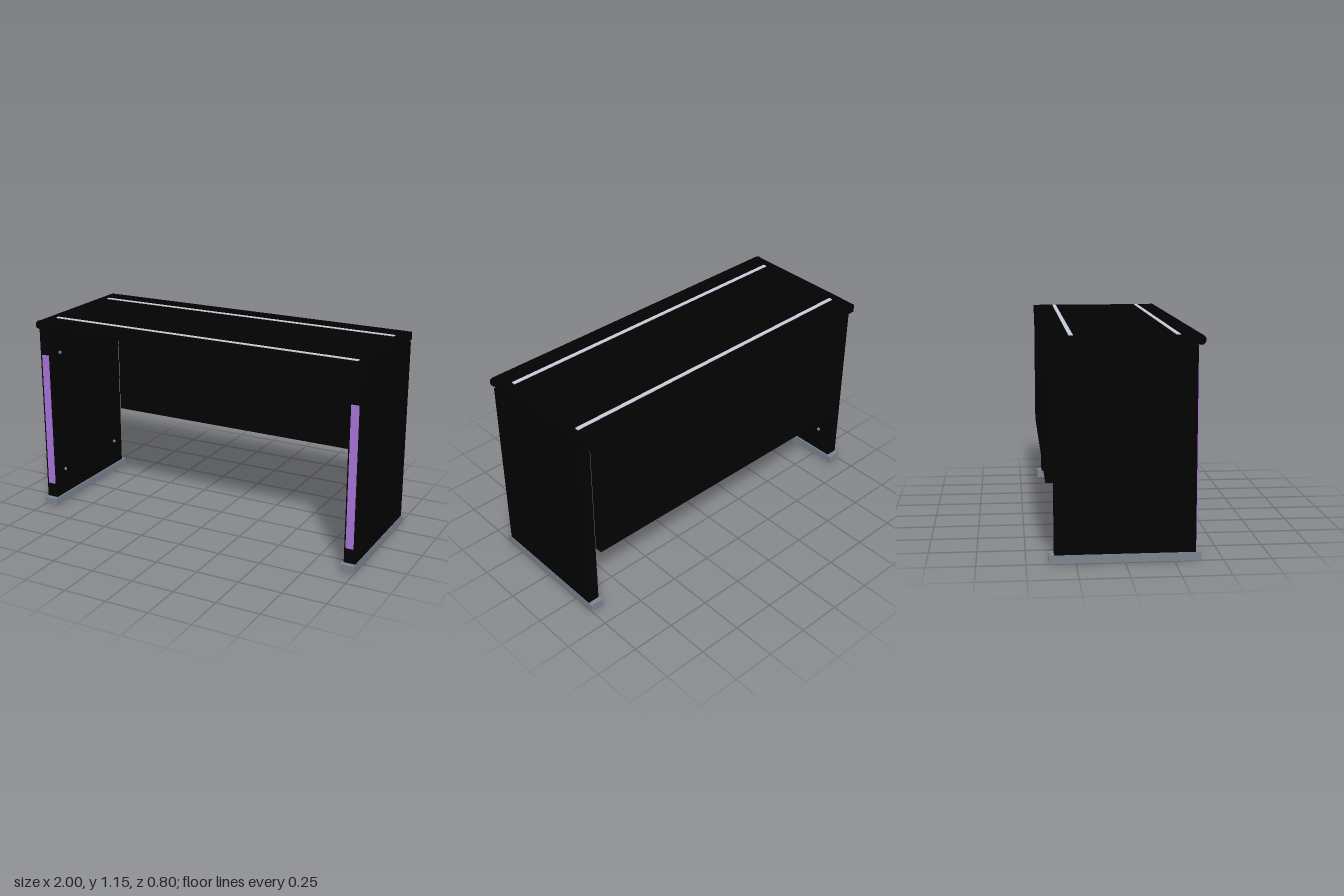
import * as THREE from 'three';

const paint = (name, color) => {
  const m = new THREE.MeshStandardMaterial({ color });
  m.name = name;
  return m;
};

export function createModel() {
  const desk = new THREE.Group();
  desk.name = 'desk';
  const black = paint('black', 0x020202);
  const purple = paint('purple', 0xa876d8);
  const grey = paint('steel grey', 0x7c848f);
  const silver = paint('silver', 0xc6ccd8);

  const add = (name, geometry, material, parent = desk) => {
    const mesh = new THREE.Mesh(geometry, material);
    mesh.name = name;
    parent.add(mesh);
    return mesh;
  };
  // Box given by its limits on each axis
  const box = (name, material, [x0, x1], [y0, y1], [z0, z1], parent) => {
    const mesh = add(name, new THREE.BoxGeometry(x1 - x0, y1 - y0, z1 - z0), material, parent);
    mesh.position.set((x0 + x1) / 2, (y0 + y1) / 2, (z0 + z1) / 2);
    return mesh;
  };

  // Worktop slab with a rounded front edge
  box('worktop', black, [-0.988, 0.988], [1.096, 1.142], [-0.4, 0.375]);
  const profile = [[0, -1], [0.015, -1], [0.022, -0.994], [0.025, -0.985],
    [0.025, 0.985], [0.022, 0.994], [0.015, 1], [0, 1]].map(([r, y]) => new THREE.Vector2(r, y));
  const nose = add('frontEdgeRoll', new THREE.LatheGeometry(profile, 24), black);
  nose.rotation.z = Math.PI / 2;
  nose.position.set(0, 1.12, 0.374);

  // Inlaid strips on the worktop
  for (const z of [-0.267, 0.267]) {
    box('worktopStrip', silver, [-0.935, 0.935], [1.138, 1.146], [z - 0.011, z + 0.011]);
  }

  // Rear modesty panel
  box('modestyPanel', black, [-0.925, 0.925], [0.4, 1.096], [-0.397, -0.355]);

  // Side panels with foot, front accent and inner screw heads
  for (const side of [1, -1]) {
    const leg = new THREE.Group();
    leg.name = side > 0 ? 'leftLeg' : 'rightLeg';
    desk.add(leg);
    const span = (a, b) => (side > 0 ? [a, b] : [-b, -a]);
    box('sidePanel', black, span(0.931, 0.998), [0.045, 1.096], [-0.359, 0.359], leg);
    box('foot', grey, span(0.922, 1), [0, 0.045], [-0.387, 0.387], leg);
    box('accentStrip', purple, span(0.941, 0.984), [0.133, 0.935], [0.358, 0.367], leg);
    for (const y of [0.2, 0.935]) {
      for (const z of [-0.27, 0.27]) {
        const screw = add('screwHead', new THREE.CylinderGeometry(0.009, 0.009, 0.014, 12), grey, leg);
        screw.rotation.z = Math.PI / 2;
        screw.position.set(side * 0.929, y, z);
      }
    }
  }
  return desk;
}
